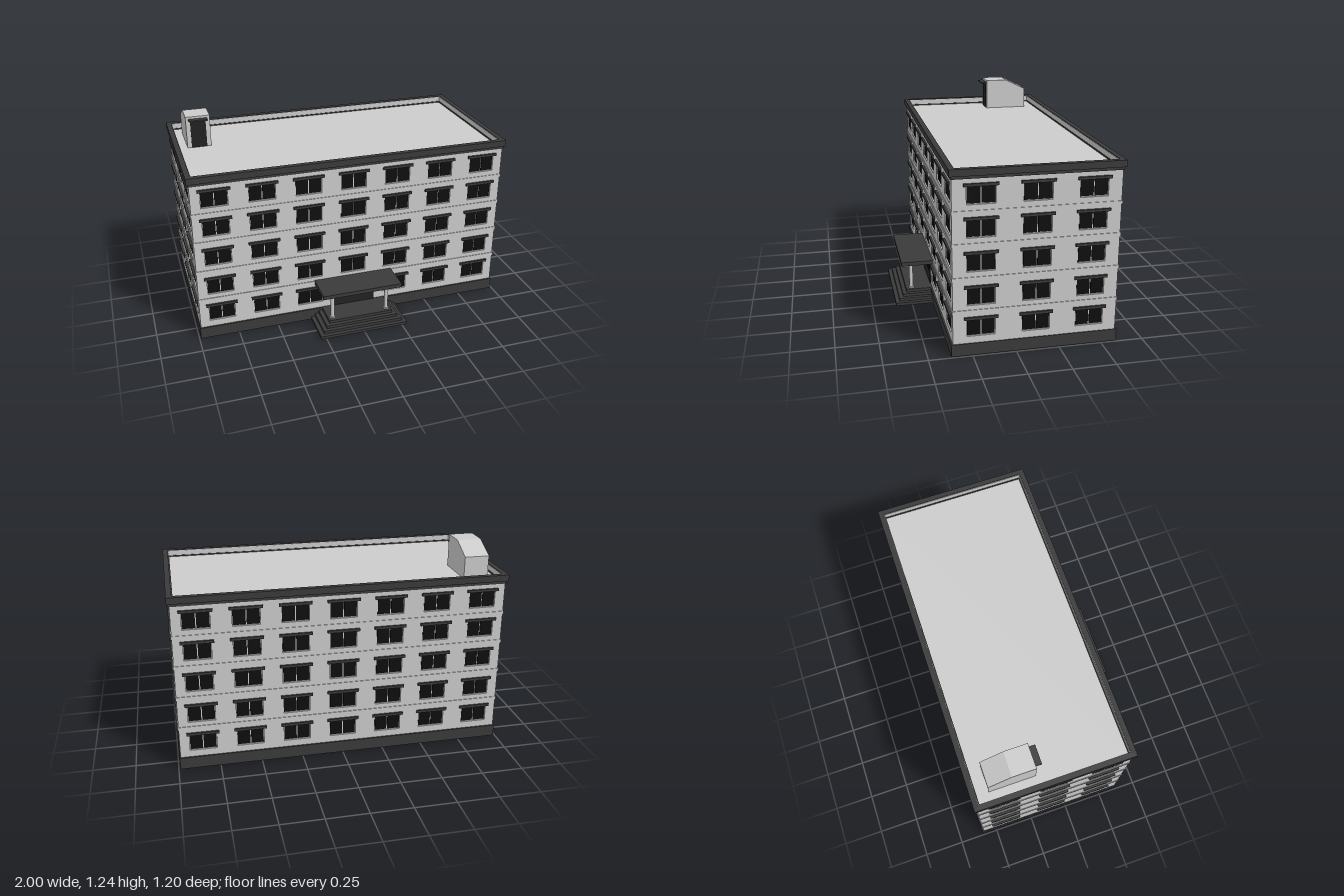
import * as THREE from 'three';

const mat = (color, extra) => new THREE.MeshStandardMaterial({ color, ...extra });
const GREY = mat(0xcccccc);
const DARK = mat(0x3a3a3a);
const DOOR = mat(0x222222);
const GLASS = mat(0x0e0e0e);
const BRASS = mat(0x9a7b20);

const HALF_W = 0.985, HALF_D = 0.4725, MID_Z = -0.1125, WALL_TOP = 1.035;
const LINTELS = [0.225, 0.412, 0.61, 0.805, 0.992]; // lintel height on each floor
const BANDS = [0.265, 0.46, 0.655, 0.84];

function add(parent, name, geometry, material, x = 0, y = 0, z = 0) {
  const mesh = new THREE.Mesh(geometry, material);
  mesh.name = name;
  mesh.position.set(x, y, z);
  parent.add(mesh);
  return mesh;
}

// box given by its min and max on each axis
function box(parent, name, material, [x0, x1], [y0, y1], [z0, z1]) {
  return add(parent, name, new THREE.BoxGeometry(x1 - x0, y1 - y0, z1 - z0), material,
    (x0 + x1) / 2, (y0 + y1) / 2, (z0 + z1) / 2);
}

const corners = (x0, x1, y0, y1) => [[x0, y0], [x1, y0], [x1, y1], [x0, y1]].map(p => new THREE.Vector2(...p));

// flat rectangular ring lying around the building
function ring(parent, name, material, halfX, halfZ, thick, y0, y1) {
  const shape = new THREE.Shape(corners(-halfX, halfX, -halfZ, halfZ));
  const ix = halfX - thick, iz = halfZ - thick;
  shape.holes.push(new THREE.Path(corners(-ix, ix, -iz, iz)));
  const geometry = new THREE.ExtrudeGeometry(shape, { depth: y1 - y0, bevelEnabled: false });
  geometry.rotateX(-Math.PI / 2);
  return add(parent, name, geometry, material, 0, y0, MID_Z);
}

// double-pane window: recessed frame, two panes, projecting lintel
function addWindow(parent, x, lintelY) {
  const win = new THREE.Group();
  win.name = 'window';
  win.position.set(x, lintelY, 0);
  box(win, 'windowFrame', GREY, [-0.082, 0.082], [-0.112, -0.006], [-0.025, -0.011]);
  for (const side of [-1, 1]) {
    add(win, 'windowPane', new THREE.BoxGeometry(0.074, 0.095, 0.006), GLASS, side * 0.04, -0.057, -0.009);
  }
  box(win, 'lintel', DARK, [-0.096, 0.096], [-0.008, 0.008], [-0.01, 0.012]);
  parent.add(win);
}

// wall with window openings, outer face on local z = 0
function makeWall(name, halfWidth, columns, doorColumn) {
  const wall = new THREE.Group();
  wall.name = name;
  const shape = new THREE.Shape(corners(-halfWidth, halfWidth, 0.03, WALL_TOP));
  LINTELS.forEach((y, floor) => {
    for (const x of columns) {
      if (floor === 0 && x === doorColumn) continue;
      shape.holes.push(new THREE.Path(corners(x - 0.08, x + 0.08, y - 0.11, y - 0.008)));
      addWindow(wall, x, y);
    }
  });
  const geometry = new THREE.ExtrudeGeometry(shape, { depth: 0.03, bevelEnabled: false });
  add(wall, 'wallPanel', geometry, GREY, 0, 0, -0.03);
  return wall;
}

function makeEntrance() {
  const entrance = new THREE.Group();
  entrance.name = 'entrance';
  // steps narrowing towards the door
  for (let i = 0; i < 4; i++) {
    const half = 0.283 - i * 0.025;
    box(entrance, 'step', DARK, [-half, half], [i * 0.0185, (i + 1) * 0.0185], [0.34, 0.603 - i * 0.025]);
  }
  // double door with glazed upper panels
  box(entrance, 'doorLeaves', DOOR, [-0.142, 0.142], [0.074, 0.247], [0.35, 0.366]);
  for (const side of [-1, 1]) {
    add(entrance, 'doorGlass', new THREE.BoxGeometry(0.104, 0.085, 0.004), GLASS, side * 0.058, 0.195, 0.366);
  }
  // columns carrying the canopy
  for (const side of [-1, 1]) {
    const x = side * 0.178;
    add(entrance, 'column', new THREE.CylinderGeometry(0.012, 0.012, 0.18, 16), GREY, x, 0.164, 0.493);
    for (const y of [0.078, 0.25]) {
      add(entrance, 'columnCollar', new THREE.CylinderGeometry(0.018, 0.018, 0.01, 16), GREY, x, y, 0.493);
    }
  }
  box(entrance, 'canopy', DARK, [-0.255, 0.255], [0.255, 0.28], [0.35, 0.56]);
  return entrance;
}

function makeRoofHut() {
  const hut = new THREE.Group();
  hut.name = 'roofHut';
  // side profile drawn as (-z, y), extruded across x
  const profile = [[0.207, 1.03], [0.49, 1.03], [0.49, 1.173], [0.35, 1.24], [0.207, 1.24]];
  const shape = new THREE.Shape(profile.map(p => new THREE.Vector2(...p)));
  const geometry = new THREE.ExtrudeGeometry(shape, { depth: 0.15, bevelEnabled: false });
  geometry.rotateY(Math.PI / 2);
  add(hut, 'hutBody', geometry, GREY, -0.91, 0, 0);
  box(hut, 'hutDoor', DOOR, [-0.883, -0.787], [1.036, 1.208], [-0.21, -0.204]);
  box(hut, 'hutAwning', DARK, [-0.893, -0.777], [1.217, 1.226], [-0.21, -0.17]);
  add(hut, 'doorKnob', new THREE.SphereGeometry(0.004, 12, 8), BRASS, -0.798, 1.12, -0.203);
  return hut;
}

export function createModel() {
  const building = new THREE.Group();
  building.name = 'apartmentBlock';

  box(building, 'plinth', DARK, [-0.99, 0.99], [0, 0.073], [MID_Z - 0.482, MID_Z + 0.482]);

  // four walls
  const longColumns = [-3, -2, -1, 0, 1, 2, 3].map(i => i * 0.282);
  const shortColumns = [-0.313, 0, 0.313];
  const front = makeWall('frontWall', HALF_W, longColumns, 0);
  front.position.z = MID_Z + HALF_D;
  const back = makeWall('backWall', HALF_W, longColumns);
  back.position.z = MID_Z - HALF_D;
  back.rotation.y = Math.PI;
  building.add(front, back);
  for (const side of [-1, 1]) {
    const wall = makeWall(side > 0 ? 'leftWall' : 'rightWall', HALF_D - 0.03, shortColumns);
    wall.position.set(side * HALF_W, 0, MID_Z);
    wall.rotation.y = side * Math.PI / 2;
    building.add(wall);
  }

  // string courses between floors
  for (const y of BANDS) {
    ring(building, 'stringCourse', GREY, HALF_W + 0.004, HALF_D + 0.004, 0.02, y - 0.01, y + 0.01);
  }

  // cornice, parapet and sunken roof
  ring(building, 'cornice', DARK, HALF_W + 0.006, HALF_D + 0.006, 0.03, 1.026, 1.046);
  ring(building, 'parapet', DARK, 1, 0.4875, 0.032, 1.043, 1.082);
  ring(building, 'parapetLining', GREY, 0.969, 0.4565, 0.004, 1.03, 1.078);
  box(building, 'roof', GREY, [-0.97, 0.97], [1.0, 1.038], [MID_Z - 0.457, MID_Z + 0.457]);

  building.add(makeEntrance(), makeRoofHut());
  return building;
}
